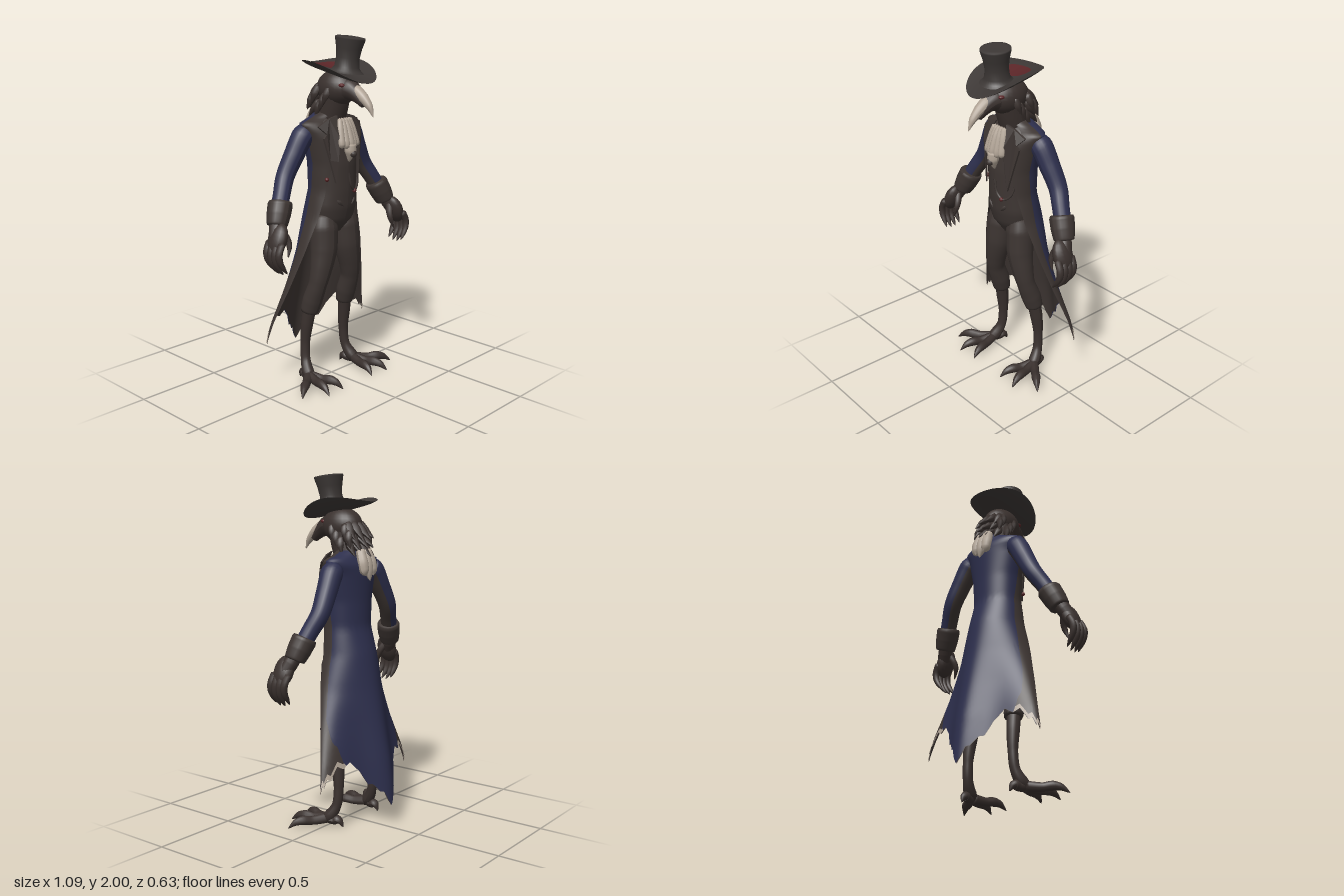
import * as THREE from 'three';

const V = (p) => new THREE.Vector3(p[0], p[1], p[2]);
const mat = (name, color) => {
  const m = new THREE.MeshStandardMaterial({ color, side: THREE.DoubleSide });
  m.name = name;
  return m;
};

// Linear lookup in rows of [key, ...values], keys ascending
function look(rows, k) {
  if (k <= rows[0][0]) return rows[0].slice(1);
  for (let i = 1; i < rows.length; i++) {
    if (k <= rows[i][0]) {
      const a = rows[i - 1], b = rows[i], t = (k - a[0]) / (b[0] - a[0]);
      return a.slice(1).map((v, j) => v + (b[j + 1] - v) * t);
    }
  }
  return rows[rows.length - 1].slice(1);
}

// Grid surface from f(u, v) -> [x, y, z]
function surface(f, nu, nv, flip = false) {
  const pos = [], idx = [];
  for (let j = 0; j <= nv; j++) for (let i = 0; i <= nu; i++) pos.push(...f(i / nu, j / nv));
  for (let j = 0; j < nv; j++) for (let i = 0; i < nu; i++) {
    const a = j * (nu + 1) + i, b = a + 1, c = a + nu + 1, d = c + 1;
    if (flip) idx.push(a, c, b, b, c, d); else idx.push(a, b, c, b, d, c);
  }
  const g = new THREE.BufferGeometry();
  g.setAttribute('position', new THREE.Float32BufferAttribute(pos, 3));
  g.setIndex(idx);
  g.computeVertexNormals();
  return g;
}

// Tapered tube through [x, y, z, radius] points, closed at both ends
function limb(pts, sides = 14, seg = 28) {
  const curve = new THREE.CatmullRomCurve3(pts.map(V));
  const g = new THREE.TubeGeometry(curve, seg, 1, sides, false);
  const p = g.attributes.position, v = new THREE.Vector3();
  for (let i = 0; i < p.count; i++) {
    const ring = Math.floor(i / (sides + 1)), u = ring / seg;
    const k = curve.getUtoTmapping(u) * (pts.length - 1);
    const a = Math.min(Math.floor(k), pts.length - 2);
    const r = ring === 0 || ring === seg ? 0.0005 : THREE.MathUtils.lerp(pts[a][3], pts[a + 1][3], k - a);
    const c = curve.getPointAt(u);
    v.fromBufferAttribute(p, i).sub(c).multiplyScalar(r).add(c);
    p.setXYZ(i, v.x, v.y, v.z);
  }
  g.computeVertexNormals();
  return g;
}

// Split faces into two material groups: those turned toward dir go second
function splitByDirection(g, dir, limit) {
  const n = g.attributes.normal, sets = [[], []], old = g.index.array;
  for (let i = 0; i < old.length; i += 3) {
    const tri = [old[i], old[i + 1], old[i + 2]];
    const d = tri.reduce((sum, k) => sum + n.getX(k) * dir[0] + n.getY(k) * dir[1] + n.getZ(k) * dir[2], 0) / 3;
    sets[d > limit ? 1 : 0].push(...tri);
  }
  g.setIndex([...sets[0], ...sets[1]]);
  g.addGroup(0, sets[0].length, 0);
  g.addGroup(sets[0].length, sets[1].length, 1);
  return g;
}

// Coat sections: [y, half width, half depth, centre z, depth of the middle tail fold]
const COAT = [[0.14, 0.41, 0.1, -0.13, 0.085], [0.28, 0.41, 0.095, -0.12, 0.085], [0.4, 0.375, 0.1, -0.1, 0.083],
  [0.6, 0.305, 0.13, -0.045, 0.065], [0.8, 0.237, 0.16, 0, 0.038], [1.0, 0.172, 0.152, 0, 0.012], [1.15, 0.148, 0.125, 0.004, 0],
  [1.3, 0.155, 0.127, 0.004, 0], [1.45, 0.185, 0.126, -0.003, 0], [1.5, 0.208, 0.112, -0.015, 0], [1.53, 0.215, 0.09, -0.02, 0],
  [1.55, 0.15, 0.078, -0.025, 0], [1.58, 0.085, 0.075, -0.02, 0]];
// Body sections: [y, half width, half depth, centre z]
const TORSO = [[0.9, 0.03, 0.04, 0.02], [0.97, 0.13, 0.09, 0.015], [1.05, 0.145, 0.108, 0.018],
  [1.15, 0.135, 0.113, 0.02], [1.3, 0.142, 0.118, 0.014], [1.45, 0.165, 0.112, 0], [1.52, 0.17, 0.08, -0.01],
  [1.57, 0.05, 0.04, 0]];
const OPENING = [[0.3, 1.55], [0.8, 1.65], [1.05, 2.0], [1.3, 2.45], [1.58, 2.5]];
const HEM = [[0, 0.14], [0.04, 0.18], [0.07, 0.23], [0.1, 0.23], [0.16, 0.28], [0.2, 0.28], [0.28, 0.36], [0.4, 0.42],
  [0.5, 0.39], [0.6, 0.41], [0.72, 0.34], [0.8, 0.35], [0.88, 0.3], [0.92, 0.32], [1, 0.27]];
// Where blue gives way to the dark front panels, by v
const BLUE_LEFT = [[0, 0.64], [0.5, 0.7], [0.65, 0.8], [0.82, 0.84], [0.92, 0.65], [1, 0.45]];
const BLUE_RIGHT = [[0, 0.64], [0.5, 0.64], [0.65, 0.7], [0.82, 0.72], [0.93, 0.65], [1, 0.5]];

// Point on the coat: s runs edge to edge (-1..1), v from collar to hem
function coatPoint(s, v, inset) {
  const y = 1.58 + (look(HEM, Math.abs(s))[0] - 1.58) * Math.pow(v, 1.5);
  const [rx, rz, cz, fold] = look(COAT, y), th = s * look(OPENING, y)[0];
  const x = (rx - inset) * Math.sin(th);
  return [x, y, cz - (rz - inset) * Math.cos(th) - fold * Math.exp(-((x / 0.12) ** 2))];
}

// Brim height: lower in front, sides curled up
const brimY = (x, z) => 1.848 - (z + 0.17) * 0.21 + 0.06 * (x / 0.18) ** 2;

export function createModel() {
  const root = new THREE.Group();
  root.name = 'birdGentleman';
  const dark = mat('darkCloth', 0x3d3532), felt = mat('hatFelt', 0x3c3735), blue = mat('blueCloth', 0x2d2f4d),
    skin = mat('birdSkin', 0x3a312e), bone = mat('paleBone', 0xb0a395), red = mat('darkRed', 0x5a2527);
  const add = (name, geo, m, parent = root) => {
    const mesh = new THREE.Mesh(geo, m);
    mesh.name = name;
    parent.add(mesh);
    return mesh;
  };

  // Waistcoat and hips
  add('waistcoat', surface((u, v) => {
    const y = 1.57 - 0.67 * v, [rx, rz, cz] = look(TORSO, y), th = (u * 2 - 1) * Math.PI;
    return [rx * Math.sin(th), y, cz - rz * Math.cos(th)];
  }, 36, 30), dark);

  // Coat: blue back, dark front panels, torn pale hem, dark lining with blue patches
  const left = (v) => look(BLUE_LEFT, v)[0], right = (v) => -look(BLUE_RIGHT, v)[0];
  const panel = (name, from, to, v0, v1, m, inset = 0, flip = false) =>
    add(name, surface((u, w) => {
      const v = v0 + (v1 - v0) * w, s0 = from(v), s1 = to(v);
      return coatPoint(s0 + (s1 - s0) * u, v, inset);
    }, Math.ceil((to(1) - from(1)) * 60), Math.ceil((v1 - v0) * 48), flip), m);
  const at = (s) => () => s;
  panel('coatBack', right, left, 0, 1, blue);
  panel('coatFrontLeft', left, at(1), 0, 0.985, dark);
  panel('coatFrontRight', at(-1), right, 0, 0.985, dark);
  panel('tornHemLeft', left, at(1), 0.985, 1, bone);
  panel('tornHemRight', at(-1), right, 0.985, 1, bone);
  panel('coatLining', at(-1), at(1), 0, 1, dark, 0.006, true);
  panel('liningPatchLeft', at(0.58), at(0.7), 0.86, 0.95, blue, 0.009, true);
  panel('liningPatchRight', at(-0.7), at(-0.58), 0.86, 0.95, blue, 0.009, true);

  for (const s of [-1, 1]) {
    const side = new THREE.Group();
    side.name = s > 0 ? 'leftSide' : 'rightSide';
    root.add(side);
    const part = (name, pts, m, sides, seg) => add(name, limb(pts.map(([x, y, z, r]) => [x * s, y, z, r]), sides, seg), m, side);

    // Sleeve with dark inner face, cuff, hand
    const sleeve = part('sleeve', [[0.15, 1.49, -0.03, 0.05], [0.19, 1.46, -0.035, 0.064], [0.25, 1.36, -0.045, 0.058],
      [0.315, 1.245, -0.05, 0.052], [0.365, 1.16, -0.025, 0.048], [0.42, 1.06, 0.005, 0.046]], [blue, dark], 18, 36);
    splitByDirection(sleeve.geometry, [-0.85 * s, -0.5, 0.1], 0.62);
    part('cuff', [[0.388, 1.13, -0.01, 0.06], [0.396, 1.11, -0.005, 0.069], [0.42, 1.06, 0.008, 0.066],
      [0.443, 1.01, 0.02, 0.057], [0.447, 1.0, 0.022, 0.05]], dark, 18, 24);
    const palm = add('palm', new THREE.SphereGeometry(1, 18, 12), skin, side);
    palm.scale.set(0.042, 0.09, 0.062);
    palm.position.set(0.482 * s, 0.945, 0.065);
    palm.rotation.z = 0.4 * s;
    part('wrist', [[0.435, 1.04, 0.015, 0.04], [0.46, 0.99, 0.035, 0.043], [0.485, 0.94, 0.055, 0.04]], skin);
    for (let i = 0; i < 4; i++) {
      const z = 0.02 + i * 0.032, d = Math.abs(i - 1.5) * 0.012;
      part('finger', [[0.495, 0.94, z, 0.02], [0.525, 0.88, z + 0.005, 0.02], [0.522, 0.82 + d, z + 0.008, 0.018],
        [0.5, 0.78 + d, z + 0.01, 0.014], [0.472, 0.745 + d, z + 0.014, 0.003]], skin, 8, 16);
    }
    part('thumb', [[0.45, 0.99, 0.05, 0.022], [0.424, 0.94, 0.075, 0.02], [0.42, 0.9, 0.09, 0.016], [0.44, 0.84, 0.1, 0.003]], skin, 8, 16);

    // Breeches, shin and clawed foot
    part('breechesLeg', [[0.075, 1.02, 0.015, 0.06], [0.085, 0.93, 0.02, 0.083], [0.095, 0.8, 0.03, 0.077], [0.12, 0.68, 0.03, 0.062],
      [0.135, 0.6, 0.02, 0.053], [0.142, 0.5, -0.015, 0.058], [0.148, 0.43, -0.035, 0.052], [0.15, 0.41, -0.038, 0.042]], dark, 18, 40);
    part('shin', [[0.148, 0.46, -0.03, 0.04], [0.157, 0.35, -0.048, 0.037], [0.163, 0.23, -0.058, 0.028],
      [0.17, 0.13, -0.048, 0.028], [0.185, 0.07, -0.015, 0.036], [0.195, 0.04, 0.02, 0.03]], skin, 14, 30);
    for (const [x, z] of [[0.38, 0.14], [0.25, 0.225], [0.125, 0.215], [0.17, -0.095]]) {
      const on = (t, y, r) => [0.19 + (x - 0.19) * t, y, z * t, r];
      part('toe', [on(0, 0.05, 0.03), on(0.4, 0.042, 0.025), on(0.62, 0.048, 0.027), on(0.8, 0.04, 0.02), on(1, 0.008, 0.002)], skin, 10, 20);
    }

    // Lapel laid over the chest
    const shape = new THREE.Shape([[0.045, 1.57], [0.1, 1.555], [0.168, 1.515], [0.135, 1.475], [0.15, 1.45], [0.12, 1.33], [0.09, 1.2], [0.08, 1.32],
      [0.07, 1.45]].map(([x, y]) => new THREE.Vector2(x * s, y)));
    const lapel = new THREE.ExtrudeGeometry(shape, { depth: 0.012, bevelEnabled: false });
    const lp = lapel.attributes.position;
    for (let i = 0; i < lp.count; i++) {
      const [rx, rz, cz] = look(COAT, Math.min(lp.getY(i), 1.53));
      lp.setZ(i, lp.getZ(i) + 0.008 + cz + rz * Math.sqrt(Math.max(0.1, 1 - (lp.getX(i) / rx) ** 2)));
    }
    lapel.computeVertexNormals();
    add('lapel', lapel, dark, side);

    // Eye and cheek feathers
    const eye = add('eye', new THREE.SphereGeometry(0.015, 12, 8), red, side);
    eye.position.set(0.057 * s, 1.738, 0.13);
    eye.scale.set(1, 0.7, 1.3);
    for (let i = 0; i < 5; i++) {
      const y = 1.7 - (i % 3) * 0.035, z = 0.06 - i * 0.03;
      part('cheekFeather', [[0.07, y + 0.03, z, 0.02], [0.09, y - 0.02, z - 0.015, 0.022], [0.1, y - 0.075, z - 0.035, 0.002]], skin, 6, 8);
    }
    part('waistcoatPoint', [[0.085, 1.115, 0.085, 0.008], [0.055, 1.085, 0.113, 0.014], [0.033, 1.06, 0.124, 0.003]], dark, 8, 10);
  }

  // Head, neck and hooked beak
  add('neck', limb([[0, 1.5, -0.02, 0.07], [0, 1.56, 0, 0.082], [0, 1.64, 0.02, 0.085], [0, 1.72, 0.03, 0.09]], 20), skin);
  const head = add('head', new THREE.SphereGeometry(1, 24, 16), skin);
  head.scale.set(0.095, 0.1, 0.125);
  head.position.set(0, 1.715, 0.04);
  add('beakBase', limb([[0, 1.71, 0.08, 0.07], [0, 1.71, 0.14, 0.061], [0, 1.69, 0.185, 0.044], [0, 1.658, 0.225, 0.03], [0, 1.63, 0.25, 0.02]], 16), skin);
  add('beakTip', limb([[0, 1.716, 0.155, 0.033], [0, 1.704, 0.19, 0.036], [0, 1.672, 0.24, 0.03], [0, 1.628, 0.284, 0.019], [0, 1.575, 0.312, 0.002]], 16), bone);

  // Nape feathers in rows, pale ones lowest
  for (let row = 0; row < 3; row++) for (let i = -2; i <= 2; i++) {
    const a = i * 0.42 + (row % 2) * 0.2, y = 1.74 - row * 0.045, c = Math.cos(a), x = Math.sin(a);
    add('napeFeather', limb([[x * 0.07, y, -0.05 * c, 0.02], [x * 0.09, y - 0.05, -0.1 * c, 0.024],
      [x * 0.1, y - 0.105 - 0.01 * (i % 2), -0.165 * c, 0.002]], 6, 8), skin);
  }
  for (let i = -1; i <= 1; i++) {
    add('paleFeather', limb([[i * 0.028, 1.59, -0.105, 0.026], [i * 0.038, 1.51, -0.134, 0.031],
      [i * 0.036, 1.46, -0.145, 0.026], [i * 0.03, 1.41 + Math.abs(i) * 0.03, -0.155, 0.003]], 8, 12), bone);
  }

  // Hat: brim, crown and red patch behind the crown
  for (const top of [true, false]) {
    add(top ? 'brimTop' : 'brimUnderside', surface((u, v) => {
      const a = u * Math.PI * 2, x = 0.18 * v * Math.cos(a), z = 0.055 + 0.226 * v * Math.sin(a);
      return [x, brimY(x, z) + (top ? 1 : -1) * 0.011 * (1 - v ** 6), z];
    }, 48, 10, !top), felt);
  }
  const crown = add('hatCrown', new THREE.LatheGeometry([[0.098, 0], [0.082, 0.012], [0.069, 0.03], [0.064, 0.08],
    [0.071, 0.13], [0.084, 0.182], [0.082, 0.19], [0.06, 0.193], [0, 0.19]].map((p) => new THREE.Vector2(...p)), 32), felt);
  crown.position.set(0, 1.805, 0.11);
  crown.rotation.set(0.11, 0, -0.06);
  add('redPatch', surface((u, v) => {
    const a = u * Math.PI * 2, x = 0.084 * v * Math.cos(a), z = -0.032 + 0.06 * v * Math.sin(a);
    return [x, brimY(x, z) + 0.015, z];
  }, 28, 5), red);

  // Ruffled cravat with a small lower fold
  for (let i = -2; i <= 2; i++) {
    const e = Math.abs(i);
    add('cravatFold', limb([[i * 0.018, 1.555, 0.095, 0.016], [i * 0.023, 1.5, 0.122 - e * 0.005, 0.02],
      [i * 0.028, 1.42, 0.148 - e * 0.008, 0.022], [i * 0.029, 1.38 + e * 0.006, 0.153 - e * 0.008, 0.017]], 10, 16), bone);
  }
  add('cravatPoint', limb([[0, 1.42, 0.145, 0.03], [0, 1.37, 0.145, 0.034], [0, 1.31, 0.135, 0.004]], 10, 12), bone);
  const brooch = add('brooch', new THREE.SphereGeometry(0.02, 12, 8), dark);
  brooch.position.set(0, 1.36, 0.168);

  // Watch chain with red fobs
  add('watchChain', new THREE.TubeGeometry(new THREE.CatmullRomCurve3([[0, 1.25, 0.135], [0.02, 1.17, 0.135],
    [0.06, 1.14, 0.125], [0.1, 1.17, 0.105], [0.115, 1.22, 0.09]].map(V)), 24, 0.007, 6), dark);
  for (const [x, y, z] of [[0.05, 1.14, 0.131], [-0.125, 1.22, 0.085]]) {
    add('redFob', new THREE.SphereGeometry(0.012, 10, 8), red).position.set(x, y, z);
  }

  return root;
}
